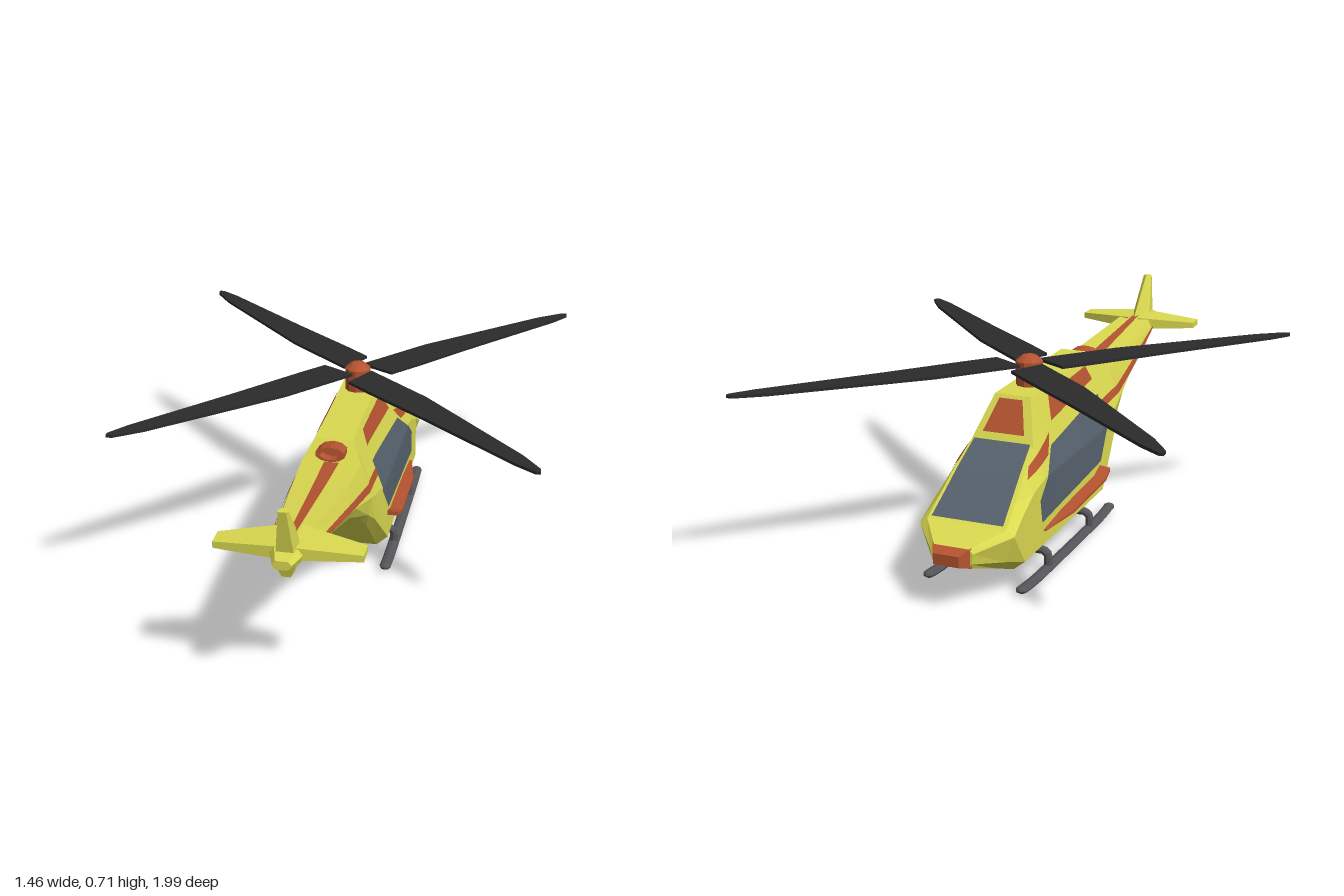
import * as THREE from 'three';

const mat = (color, extra = {}) => new THREE.MeshStandardMaterial({ color, flatShading: true, ...extra });
const YELLOW = mat(0xdad950);
const ORANGE = mat(0xb55330, { side: THREE.DoubleSide });
const GLASS = mat(0x56616c, { side: THREE.DoubleSide });
const BLACK = mat(0x2b2b2b);
const METAL = mat(0x56565a);
const lerp = THREE.MathUtils.lerp;

// Fuselage stations: z, then half-section [x, y] at keel, chine, belt and roof edge
const stations = [
  [-0.885, [0.06, 0.145], [0.068, 0.16], [0.075, 0.195], [0.06, 0.21]],
  [-0.774, [0.1, 0.108], [0.135, 0.135], [0.167, 0.225], [0.14, 0.245]],
  [-0.69, [0.125, 0.075], [0.165, 0.108], [0.163, 0.27], [0.132, 0.302]],
  [-0.6, [0.125, 0.075], [0.165, 0.108], [0.16, 0.31], [0.124, 0.365]],
  [-0.495, [0.125, 0.075], [0.165, 0.108], [0.157, 0.33], [0.112, 0.43]],
  [-0.405, [0.125, 0.075], [0.165, 0.108], [0.155, 0.33], [0.065, 0.57]],
  [0.02, [0.125, 0.075], [0.165, 0.112], [0.153, 0.33], [0.065, 0.575]],
  [0.19, [0.115, 0.245], [0.145, 0.275], [0.147, 0.37], [0.068, 0.575]],
  [0.24, [0.1, 0.295], [0.13, 0.315], [0.142, 0.385], [0.105, 0.505]],
  [0.43, [0.065, 0.39], [0.1, 0.402], [0.12, 0.44], [0.092, 0.52]],
  [0.81, [0.035, 0.48], [0.055, 0.492], [0.076, 0.525], [0.06, 0.56]],
  [0.945, [0.025, 0.505], [0.04, 0.512], [0.05, 0.54], [0.035, 0.56]],
  [1.0, [0.015, 0.52], [0.025, 0.525], [0.03, 0.537], [0.02, 0.55]],
];

// Half-section interpolated at any z
function section(z) {
  let i = 0;
  while (i < stations.length - 2 && z > stations[i + 1][0]) i++;
  const [a, b] = [stations[i], stations[i + 1]];
  const t = THREE.MathUtils.clamp((z - a[0]) / (b[0] - a[0]), 0, 1);
  return [1, 2, 3, 4].map(k => [lerp(a[k][0], b[k][0], t), lerp(a[k][1], b[k][1], t)]);
}
const roofY = z => section(z)[3][1];
function sideX(z, y) {
  const s = section(z);
  let k = 0;
  while (k < 2 && y > s[k + 1][1]) k++;
  const t = THREE.MathUtils.clamp((y - s[k][1]) / (s[k + 1][1] - s[k][1]), 0, 1);
  return lerp(s[k][0], s[k + 1][0], t);
}

function geometryFrom(positions, index) {
  const g = new THREE.BufferGeometry();
  g.setAttribute('position', new THREE.Float32BufferAttribute(positions, 3));
  g.setIndex(index);
  const flat = g.toNonIndexed();
  flat.computeVertexNormals();
  return flat;
}

// Closed solid through rings of equal point count, wound to face outward
function loft(rings) {
  const n = rings[0].length, pts = rings.flat(), idx = [];
  const last = (rings.length - 1) * n;
  for (let r = 0; r < rings.length - 1; r++)
    for (let i = 0; i < n; i++) {
      const a = r * n + i, b = r * n + (i + 1) % n;
      idx.push(a, b, b + n, a, b + n, a + n);
    }
  for (let i = 1; i < n - 1; i++) idx.push(0, i + 1, i, last, last + i, last + i + 1);
  const v = pts.map(p => new THREE.Vector3(...p));
  let volume = 0;
  for (let i = 0; i < idx.length; i += 3)
    volume += v[idx[i]].dot(v[idx[i + 1]].clone().cross(v[idx[i + 2]]));
  if (volume < 0) idx.reverse();
  return geometryFrom(pts.flat(), idx);
}

// Panel between two matching polylines, each grid point laid on the hull by place()
function panel(upper, lower, place, steps = 8, rows = 8) {
  const pos = [], idx = [], cols = (upper.length - 1) * steps;
  for (let c = 0; c <= cols; c++) {
    const k = Math.min(Math.floor(c / steps), upper.length - 2), t = c / steps - k;
    for (let r = 0; r <= rows; r++) {
      const p = [0, 1].map(j => lerp(lerp(upper[k][j], upper[k + 1][j], t),
        lerp(lower[k][j], lower[k + 1][j], t), r / rows));
      pos.push(...place(...p));
      if (c < cols && r < rows) {
        const a = c * (rows + 1) + r, b = a + rows + 1;
        idx.push(a, a + 1, b, b, a + 1, b + 1);
      }
    }
  }
  return geometryFrom(pos, idx);
}

export function createModel() {
  const model = new THREE.Group();
  const add = (name, geometry, material) => {
    const mesh = new THREE.Mesh(geometry, material);
    mesh.name = name;
    model.add(mesh);
    return mesh;
  };

  // Fuselage with tail boom
  add('fuselage', loft(stations.map(([z, ...half]) => [
    ...half.map(([x, y]) => [x, y, z]),
    ...half.slice().reverse().map(([x, y]) => [-x, y, z]),
  ])), YELLOW);

  // Nose cap
  const noseRing = (w, y0, y1, z) => [[w, y0, z], [w, y1, z], [-w, y1, z], [-w, y0, z]];
  add('noseCap', loft([noseRing(0.068, 0.143, 0.212, -0.878), noseRing(0.045, 0.16, 0.197, -0.925)]), ORANGE);

  // Panels on the centreline: windscreen, roof hatch, tail stripe
  const onTop = lift => (x, z) => [x, roofY(z) + lift, z];
  add('windscreen', panel([[-0.126, -0.77], [-0.102, -0.495]], [[0.126, -0.77], [0.102, -0.495]], onTop(0.006), 24), GLASS);
  add('roofHatch', panel([[-0.075, -0.485], [-0.042, -0.42]], [[0.075, -0.485], [0.042, -0.42]], onTop(0.014)), ORANGE);
  add('tailTopStripe', panel([[-0.026, 0.24], [-0.008, 0.95]], [[0.026, 0.24], [0.008, 0.95]], onTop(0.004), 40), ORANGE);

  for (const side of [1, -1]) {
    const label = side > 0 ? 'left' : 'right';
    // Side panels, given as z, y
    const onSide = (z, y) => [side * (sideX(z, y) + 0.005), y + 0.001, z];
    add(label + 'Window', panel(
      [[0.085, 0.45], [0, 0.443], [-0.39, 0.405], [-0.56, 0.27]],
      [[0.085, 0.33], [0, 0.225], [-0.39, 0.2], [-0.55, 0.19]], onSide, 10, 16), GLASS);
    add(label + 'UpperPanel', panel([[0.06, 0.557], [-0.29, 0.545]], [[0.08, 0.505], [-0.33, 0.47]], onSide), ORANGE);
    add(label + 'TailStripe', panel([[0.83, 0.535], [0.26, 0.44], [0.08, 0.422]],
      [[0.83, 0.522], [0.26, 0.413], [0.08, 0.395]], onSide, 20), ORANGE);
    add(label + 'PillarStripe', panel([[-0.37, 0.445], [-0.5, 0.405], [-0.565, 0.386]],
      [[-0.43, 0.385], [-0.53, 0.365], [-0.6, 0.352]], onSide), ORANGE);

    // Sponson blade along the cabin side
    const sponson = [[0, 0.19, 0.2], [-0.06, 0.172, 0.206], [-0.36, 0.16, 0.204], [-0.53, 0.152, 0.172]];
    add(label + 'Sponson', loft(sponson.map(([z, y, x], i) => {
      const h = i === 3 ? 0.008 : 0.022 - i * 0.002;
      return [[side * 0.14, y, z], [side * x, y + 0.003, z], [side * x, y + h * 0.7, z], [side * 0.14, y + h, z]];
    })), ORANGE);

    // Tailplane half
    const planeRing = (x, z0, z1, y, h) => [
      [side * x, y - h, z0], [side * x, y + h, z0], [side * x, y + h, z1], [side * x, y - h, z1]];
    add(label + 'Tailplane', loft([planeRing(0.02, 0.79, 0.938, 0.542, 0.022),
      planeRing(0.235, 0.853, 0.92, 0.538, 0.011)]), YELLOW);

    // Landing skid with upturned ends
    const skidPath = new THREE.CatmullRomCurve3([[0.08, 0.038], [0.0, 0.024], [-0.16, 0.021], [-0.46, 0.021],
      [-0.62, 0.024], [-0.72, 0.038]].map(([z, y]) => new THREE.Vector3(side * 0.167, y, z)));
    const skidGeo = new THREE.TubeGeometry(skidPath, 20, 0.021, 8);
    const ends = [0, 1].map(t => {
      const cap = new THREE.SphereGeometry(0.021, 8, 6);
      const p = skidPath.getPoint(t);
      return cap.translate(p.x, p.y, p.z);
    });
    [skidGeo, ...ends].forEach((g, i) =>
      add(label + (i ? 'SkidEnd' : 'Skid'), g.scale(1, 0.6, 1), METAL));
  }

  // Skid cross tubes
  for (const z of [-0.12, -0.5]) {
    const path = new THREE.CurvePath();
    const p = [[-0.167, 0.015], [-0.167, 0.06], [-0.15, 0.073], [0.15, 0.073], [0.167, 0.06], [0.167, 0.015]]
      .map(([x, y]) => new THREE.Vector3(x, y, z));
    for (let i = 0; i < 5; i++) path.add(new THREE.LineCurve3(p[i], p[i + 1]));
    add('skidCrossTube', new THREE.TubeGeometry(path, 48, 0.015, 8), METAL);
  }

  // Upper and lower tail fins
  const finRing = (w, y, z0, z1) => [[0, y, z0], [w, y, lerp(z0, z1, 0.6)], [w * 0.8, y, z1],
    [-w * 0.8, y, z1], [-w, y, lerp(z0, z1, 0.6)]];
  add('upperFin', loft([finRing(0.036, 0.545, 0.79, 0.955), finRing(0.016, 0.705, 0.945, 0.98)]), YELLOW);
  add('lowerFin', loft([finRing(0.04, 0.52, 0.79, 0.96), finRing(0.018, 0.465, 0.875, 0.945)]), YELLOW);

  // Exhaust pipe behind the roof
  const exhaust = add('exhaust', new THREE.LatheGeometry([[0, -0.06], [0.05, -0.06], [0.053, 0.045], [0.038, 0.045],
    [0.034, 0.01], [0, 0.01]].map(p => new THREE.Vector2(...p)), 10), ORANGE);
  exhaust.scale.z = 0.5;
  exhaust.rotation.x = Math.PI / 2 - 0.08;
  exhaust.position.set(0, 0.546, 0.222);

  // Rotor hub and four blades
  const rotor = new THREE.Group();
  rotor.name = 'mainRotor';
  rotor.position.set(0, 0, -0.265);
  const hub = new THREE.Mesh(new THREE.LatheGeometry([[0, 0.56], [0.047, 0.56], [0.047, 0.655], [0.025, 0.673],
    [0, 0.677]].map(p => new THREE.Vector2(...p)), 10), ORANGE);
  hub.name = 'rotorHub';
  rotor.add(hub);
  const outline = [[-0.03, 0.045], [-0.052, 0.35], [-0.03, 0.9], [-0.012, 1.01], [0.003, 1.026],
    [0.015, 1.015], [0.03, 0.93], [0.062, 0.5], [0.09, 0.2], [0.098, 0.082]];
  const bladeGeo = new THREE.ExtrudeGeometry(new THREE.Shape(outline.map(p => new THREE.Vector2(...p))),
    { depth: 0.01, bevelEnabled: false }).rotateX(-Math.PI / 2).translate(0, 0.64, 0);
  for (let i = 0; i < 4; i++) {
    const blade = new THREE.Mesh(bladeGeo, BLACK);
    blade.name = 'rotorBlade';
    blade.rotation.y = Math.PI / 4 + i * Math.PI / 2;
    rotor.add(blade);
  }
  model.add(rotor);
  return model;
}
